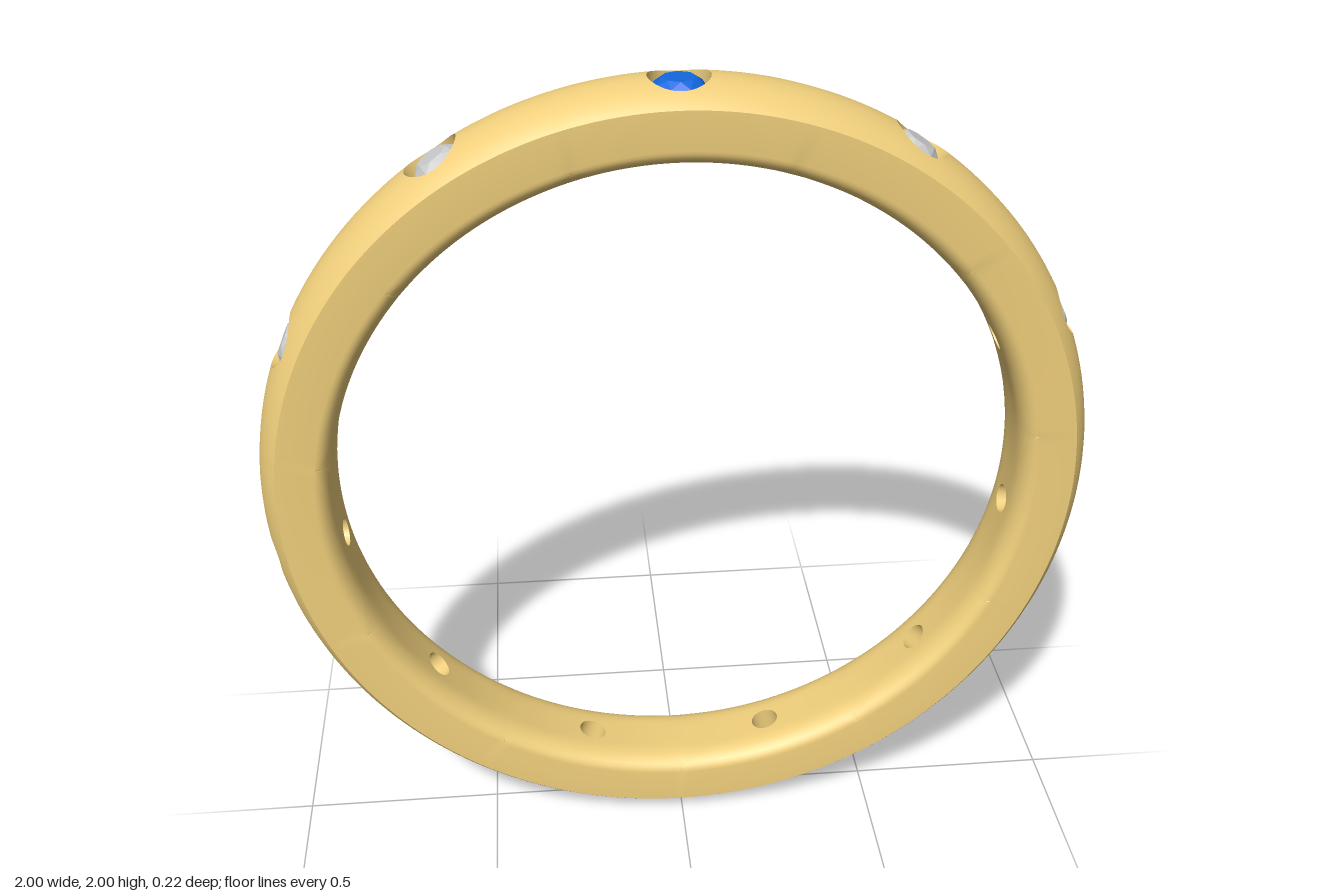
import * as THREE from 'three';
import { mergeGeometries, toCreasedNormals } from 'three/addons/utils/BufferGeometryUtils.js';
import { ConvexGeometry } from 'three/addons/geometries/ConvexGeometry.js';

const COUNT = 11;                 // stones around the band
const HALF = Math.PI / COUNT;     // half angle of one sector
const W = 0.11;                   // half width of the band
const SEAT = 0.07, BORE = 0.035;  // radii of the stone seat and the drilled hole

// Band profile: domed outside, rounded comfort-fit inside
const outerR = z => 1 - 0.157 + Math.sqrt(0.157 ** 2 - z * z);
const innerR = z => {
  const s = Math.min(1, Math.max(0, (Math.abs(z) - 0.05) / 0.06));
  return 0.825 + 0.04 * (1 - Math.sqrt(1 - s * s));
};

// Outline of one sector as [angle, z], running round the rectangle
function sectorOutline() {
  const pts = [], L = 20, S = 12;
  const across = i => W * Math.sin((i / S - 0.5) * Math.PI);
  for (let i = 0; i < S; i++) pts.push([HALF, across(i)]);
  for (let i = 0; i < L; i++) pts.push([HALF * (1 - 2 * i / L), W]);
  for (let i = 0; i < S; i++) pts.push([-HALF, -across(i)]);
  for (let i = 0; i < L; i++) pts.push([-HALF * (1 - 2 * i / L), -W]);
  return pts;
}

// One sector: outer skin -> seat -> drilled hole -> inner skin -> flat sides
function sectorGeometry() {
  const outline = sectorOutline(), n = outline.length, steps = 8;
  const columns = outline.map(([angle, z]) => {
    const phi = Math.atan2(z / W, angle / HALF), c = Math.cos(phi), s = Math.sin(phi);
    const skin = (radius, hole, t) => {
      const hz = hole * s, ha = Math.asin(hole * c / radius(hz));
      const a = ha + (angle - ha) * t, zz = hz + (z - hz) * t, r = radius(zz);
      return [r * Math.sin(a), r * Math.cos(a), zz];
    };
    const col = [];
    for (let k = 0; k <= steps; k++) col.push(skin(outerR, SEAT, 1 - k / steps));
    col.push([SEAT * c, 0.95, SEAT * s], [BORE * c, 0.9, BORE * s]);
    for (let k = 0; k <= steps; k++) col.push(skin(innerR, BORE, 1 - (1 - k / steps) ** 2));
    col.push(col[0]);
    return col;
  });
  const rows = columns[0].length, index = [];
  for (let i = 0; i < n; i++) {
    const j = (i + 1) % n;
    for (let k = 0; k < rows - 1; k++) {
      // the closing row exists only along the two faces of the band
      const onFace = Math.abs(outline[i][1] + outline[j][1]) > 2 * W - 1e-6;
      if (k === rows - 2 && !onFace) continue;
      const a = i * rows + k, c = j * rows + k;
      index.push(a, a + 1, c, a + 1, c + 1, c);
    }
  }
  const geo = new THREE.BufferGeometry();
  geo.setAttribute('position', new THREE.Float32BufferAttribute(columns.flat(2), 3));
  geo.setIndex(index);
  return geo;
}

function bandGeometry() {
  const sector = sectorGeometry(), parts = [];
  for (let i = 0; i < COUNT; i++) parts.push(sector.clone().rotateZ(-2 * HALF * i));
  // enlarged while creasing so close vertices stay distinct
  return toCreasedNormals(mergeGeometries(parts).scale(100, 100, 100), 0.6).scale(0.01, 0.01, 0.01);
}

// Brilliant-cut stone pointing along +y
function stoneGeometry() {
  const pts = [new THREE.Vector3(0, 0.902, 0)];
  const ring = (r, y, sides, turn = 0) => {
    for (let i = 0; i < sides; i++) {
      const a = (i + turn) / sides * Math.PI * 2;
      pts.push(new THREE.Vector3(r * Math.cos(a), y, r * Math.sin(a)));
    }
  };
  ring(0.038, 0.993, 8);
  ring(0.056, 0.979, 8, 0.5);
  ring(0.069, 0.957, 16);
  ring(0.069, 0.953, 16);
  return new ConvexGeometry(pts);
}

export function createModel() {
  const model = new THREE.Group();
  model.name = 'ring';
  const gold = new THREE.MeshStandardMaterial({ color: 0xf0cf7c });
  const clear = new THREE.MeshStandardMaterial({ color: 0xcccccc, flatShading: true });
  const blue = new THREE.MeshStandardMaterial({ color: 0x1467e0, flatShading: true });

  const band = new THREE.Mesh(bandGeometry(), gold);
  band.name = 'band';
  band.position.y = 1;
  model.add(band);

  // Blue stone on top, clear stones around the rest
  const stone = stoneGeometry();
  for (let i = 0; i < COUNT; i++) {
    const mesh = new THREE.Mesh(stone, i === 0 ? blue : clear);
    mesh.name = i === 0 ? 'blueStone' : 'clearStone' + i;
    mesh.position.y = 1;
    mesh.rotation.z = -2 * HALF * i;
    model.add(mesh);
  }
  return model;
}
